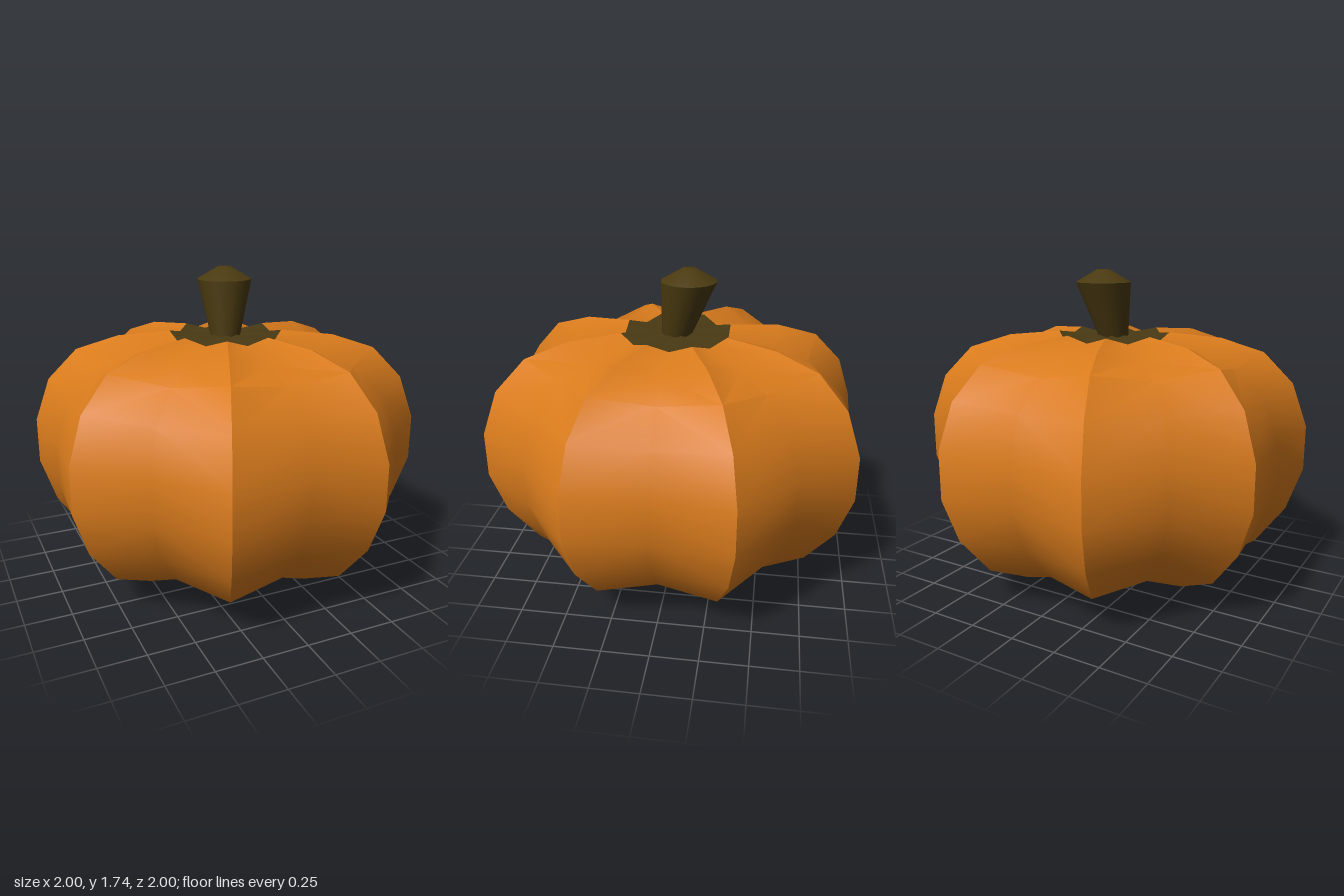
import * as THREE from 'three';
import { toCreasedNormals } from 'three/addons/utils/BufferGeometryUtils.js';

const RIBS = 8;

// Skin stacked closed rings; point(i, j) gives corner j of ring i, bottom to top.
function loft(rings, sides, point, crease) {
  const positions = [];
  const triangle = (a, b, c) => {
    if (a.distanceTo(b) < 1e-5 || b.distanceTo(c) < 1e-5 || c.distanceTo(a) < 1e-5) return;
    for (const p of [a, b, c]) positions.push(p.x, p.y, p.z);
  };
  for (let i = 0; i < rings - 1; i++) {
    for (let j = 0; j < sides; j++) {
      const k = (j + 1) % sides;
      const a = point(i, j), b = point(i, k), c = point(i + 1, k), d = point(i + 1, j);
      if (j % 2) {
        triangle(a, b, c);
        triangle(a, c, d);
      } else {
        triangle(a, b, d);
        triangle(b, c, d);
      }
    }
  }
  const geometry = new THREE.BufferGeometry();
  geometry.setAttribute('position', new THREE.Float32BufferAttribute(positions, 3));
  return toCreasedNormals(geometry, crease);
}

function polar(r, angle, y, x = 0, z = 0) {
  return new THREE.Vector3(x + r * Math.sin(angle), y, z + r * Math.cos(angle));
}

// Rings alternate between a valley (even corners) and a sharp ridge (odd corners).
function ribbed(profile, crease) {
  return loft(profile.length, RIBS * 2, (i, j) => {
    const [ridgeR, ridgeY, valleyR, valleyY] = profile[i];
    const angle = j * Math.PI / RIBS;
    return j % 2 ? polar(ridgeR, angle, ridgeY) : polar(valleyR, angle, valleyY);
  }, crease);
}

function addMesh(group, name, geometry, color) {
  const material = new THREE.MeshStandardMaterial({ color });
  const mesh = new THREE.Mesh(geometry, material);
  mesh.name = name;
  group.add(mesh);
}

export function createModel() {
  const group = new THREE.Group();
  group.name = 'pumpkin';

  // Fluted body: ridge radius, ridge height, valley radius, valley height
  addMesh(group, 'body', ribbed([
    [0, 0.07, 0, 0.07],
    [0.31, 0, 0.285, 0.07],
    [0.595, 0.08, 0.53, 0.15],
    [0.83, 0.19, 0.72, 0.23],
    [0.995, 0.4, 0.89, 0.43],
    [1.08, 0.64, 0.97, 0.65],
    [1.08, 0.89, 0.97, 0.88],
    [0.995, 1.13, 0.89, 1.1],
    [0.83, 1.3, 0.72, 1.25],
    [0.595, 1.375, 0.53, 1.315],
    [0.31, 1.4, 0.285, 1.365],
  ], 0.62), 0xd97b1c);

  // Dark patch around the stem
  addMesh(group, 'crown', ribbed([
    [0.31, 1.4, 0.285, 1.365],
    [0, 1.38, 0, 1.38],
  ], 0.6), 0x4a3a14);

  // Leaning, flared stem with a low domed end: radius, height, x, z
  const stem = [
    [0.08, 1.365, 0, 0],
    [0.15, 1.675, 0.025, -0.07],
    [0.035, 1.742, 0.025, -0.07],
    [0, 1.742, 0.025, -0.07],
  ];
  const sides = 24;
  addMesh(group, 'stem', loft(stem.length, sides, (i, j) => {
    const [r, y, x, z] = stem[i];
    return polar(r, j * 2 * Math.PI / sides, y, x, z);
  }, 0.7), 0x4a3a10);

  return group;
}
